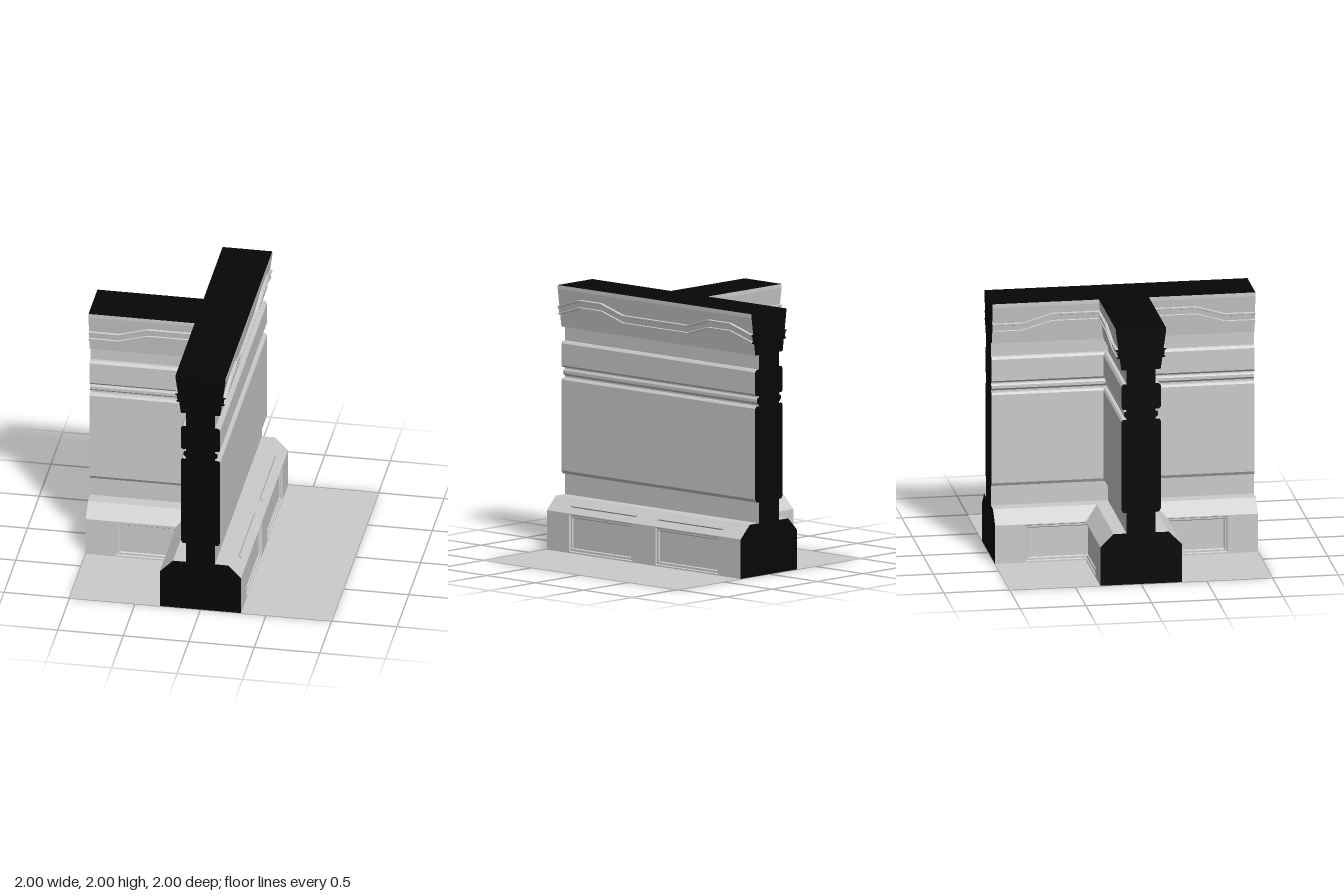
import * as THREE from 'three';

const grey = new THREE.MeshStandardMaterial({ color: 0xcccccc, side: THREE.DoubleSide, flatShading: true });
const black = new THREE.MeshStandardMaterial({ color: 0x060606, side: THREE.DoubleSide, flatShading: true });

// Half-width and height of the wall section, bottom to top
const BASE = 0.31, BASE_H = 0.3, TOP = 0.19;
const slope = [[BASE, BASE_H], [0.21, 0.4], [0.11, 0.4]];
const wall = [
  [0.11, 0.4], [0.11, 0.56], [0.135, 0.56], [0.15, 0.585], [0.15, 1.275], [0.138, 1.29],
  [0.11, 1.29], [0.11, 1.302], [0.122, 1.31], [0.13, 1.32], [0.13, 1.342], [0.122, 1.355], [0.11, 1.355],
  [0.11, 1.37], [0.138, 1.37], [0.15, 1.385], [0.15, 1.552], [0.135, 1.57], [0.11, 1.57], [0.11, 1.68],
];
const cornice = [[0.11, 1.68], [0.15, 1.68], [TOP, 1.97], [TOP, 2]];
const corniceAt = y => 0.15 + (y - 1.68) * (TOP - 0.15) / 0.29;

// Section of the wavy band: two raised rails with a sunken strip between
const band = y0 => [[0, 0], [0.021, 0.003], [0.021, 0.013], [0.011, 0.017], [0.011, 0.056], [0.021, 0.06], [0.021, 0.07], [0, 0.073]]
  .map(([out, dy]) => [corniceAt(y0 + dy) + out, y0 + dy]);

// Wall faces: t runs left to right along the face, w is the distance from the wall's middle
const faces = {
  straight: (t, w, y) => [w, y, -t],
  frontCorner: (t, w, y) => (t < 0 ? [-Math.max(-t, w), y, w] : [-w, y, Math.max(t, w)]),
  backCorner: (t, w, y) => (t > 0 ? [-Math.max(t, w), y, -w] : [-w, y, -Math.max(-t, w)]),
};

function quads(list) {
  const pos = [];
  for (const [a, b, c, d] of list) pos.push(...a, ...b, ...c, ...a, ...c, ...d);
  const g = new THREE.BufferGeometry();
  g.setAttribute('position', new THREE.Float32BufferAttribute(pos, 3));
  g.computeVertexNormals();
  return g;
}

// Sweep a section along the stations ts; rows(i) gives the section at station i
function sheet(at, ts, rows) {
  const list = [];
  for (let i = 0; i < ts.length - 1; i++) {
    const p = rows(i).map(([w, y]) => at(ts[i], w, y));
    const q = rows(i + 1).map(([w, y]) => at(ts[i + 1], w, y));
    for (let j = 0; j < p.length - 1; j++) list.push([p[j], q[j], q[j + 1], p[j + 1]]);
  }
  return list;
}

function add(group, name, geometry, material = grey) {
  const mesh = new THREE.Mesh(geometry, material);
  mesh.name = name;
  group.add(mesh);
  return mesh;
}

// Sunken panel with a stepped frame
function panel(at, ts, y0, y1) {
  const list = [];
  const inset = e => ts.map((t, i) => (i === 0 ? t + e : i === ts.length - 1 ? t - e : t));
  const loop = ([e, w]) => {
    const s = inset(e);
    return [...s.map(t => at(t, w, y0 + e)), ...s.reverse().map(t => at(t, w, y1 - e))];
  };
  const steps = [[0, BASE], [0.006, 0.298], [0.02, 0.298], [0.027, 0.288]];
  for (let k = 0; k < steps.length - 1; k++) {
    const a = loop(steps[k]), b = loop(steps[k + 1]);
    a.forEach((p, i) => {
      const n = (i + 1) % a.length;
      list.push([p, a[n], b[n], b[i]]);
    });
  }
  const [e, w] = steps[steps.length - 1];
  list.push(...sheet(at, inset(e), () => [[w, y0 + e], [w, y1 - e]]));
  return list;
}

function buildFace(name, at, corner) {
  const g = new THREE.Group();
  g.name = name;
  const ends = corner ? [-1, 0, 1] : [-1, 1];
  const y0 = 0.01, y1 = 0.293;
  const panels = corner ? [[-0.77, 0, 0.77]] : [[-0.77, -0.12], [0.12, 0.77]];
  const flat = (a, b) => () => [[BASE, a], [BASE, b]];

  // Plinth face around the panels
  const plinth = [...sheet(at, ends, flat(0, y0)), ...sheet(at, ends, flat(y1, BASE_H))];
  let t = -1;
  for (const p of panels) {
    plinth.push(...sheet(at, [t, p[0]], flat(y0, y1)));
    t = p[p.length - 1];
  }
  plinth.push(...sheet(at, [t, 1], flat(y0, y1)), ...sheet(at, ends, () => slope));
  add(g, 'plinth', quads(plinth));
  panels.forEach(p => add(g, 'plinthPanel', quads(panel(at, p, y0, y1))));

  add(g, 'wallFace', quads(sheet(at, ends, () => wall)));
  add(g, 'cornice', quads(sheet(at, ends, () => cornice)));

  // Wavy band: position along the face and height of the lower edge
  const low = 1.77, high = 1.838;
  const knots = corner
    ? [[-1, low], [-0.77, low], [-0.55, high], [0, high], [0.55, high], [0.77, low], [1, low]]
    : [[-1, low], [-0.78, high], [-0.55, high], [-0.33, low], [0.33, low], [0.55, high], [0.78, high], [1, low]];
  add(g, 'corniceBand', quads(sheet(at, knots.map(k => k[0]), i => band(knots[i][1]))));
  return g;
}

function polygon(points) {
  return new THREE.ShapeGeometry(new THREE.Shape(points.map(([x, y]) => new THREE.Vector2(x, y))));
}

export function createModel() {
  const model = new THREE.Group();
  model.name = 'wallJunction';
  for (const [name, at] of Object.entries(faces)) model.add(buildFace(name, at, name !== 'straight'));

  // Slim bars on the plinth slope of the straight side
  for (const z of [-0.445, 0.445]) {
    const bar = add(model, 'slopeBar', new THREE.BoxGeometry(0.022, 0.028, 0.666));
    bar.position.set(0.262, 0.354, z);
    bar.rotation.z = Math.PI / 4;
  }

  // Dark end sections on the three arms
  const side = [[BASE, 0], ...slope, ...wall.slice(1), cornice[1], ...band(1.77), ...cornice.slice(2)];
  const outline = [...side, ...side.map(([w, y]) => [-w, y]).reverse()];
  for (const [name, angle] of [['frontEnd', 0], ['backEnd', Math.PI], ['branchEnd', -Math.PI / 2]]) {
    add(model, name, polygon(outline).translate(0, 0, 1).rotateY(angle), black);
  }

  // Dark T-shaped top
  const tee = [[TOP, -1], [TOP, 1], [-TOP, 1], [-TOP, TOP], [-1, TOP], [-1, -TOP], [-TOP, -TOP], [-TOP, -1]];
  add(model, 'top', polygon(tee).rotateX(-Math.PI / 2).translate(0, 2, 0), black);

  // Floor beside the walls
  const room = 1 - BASE, mid = (1 + BASE) / 2;
  for (const [x, z, depth] of [[mid, 0, 2], [-mid, mid, room], [-mid, -mid, room]]) {
    add(model, 'floor', new THREE.PlaneGeometry(room, depth).rotateX(-Math.PI / 2).translate(x, 0, z));
  }
  return model;
}
